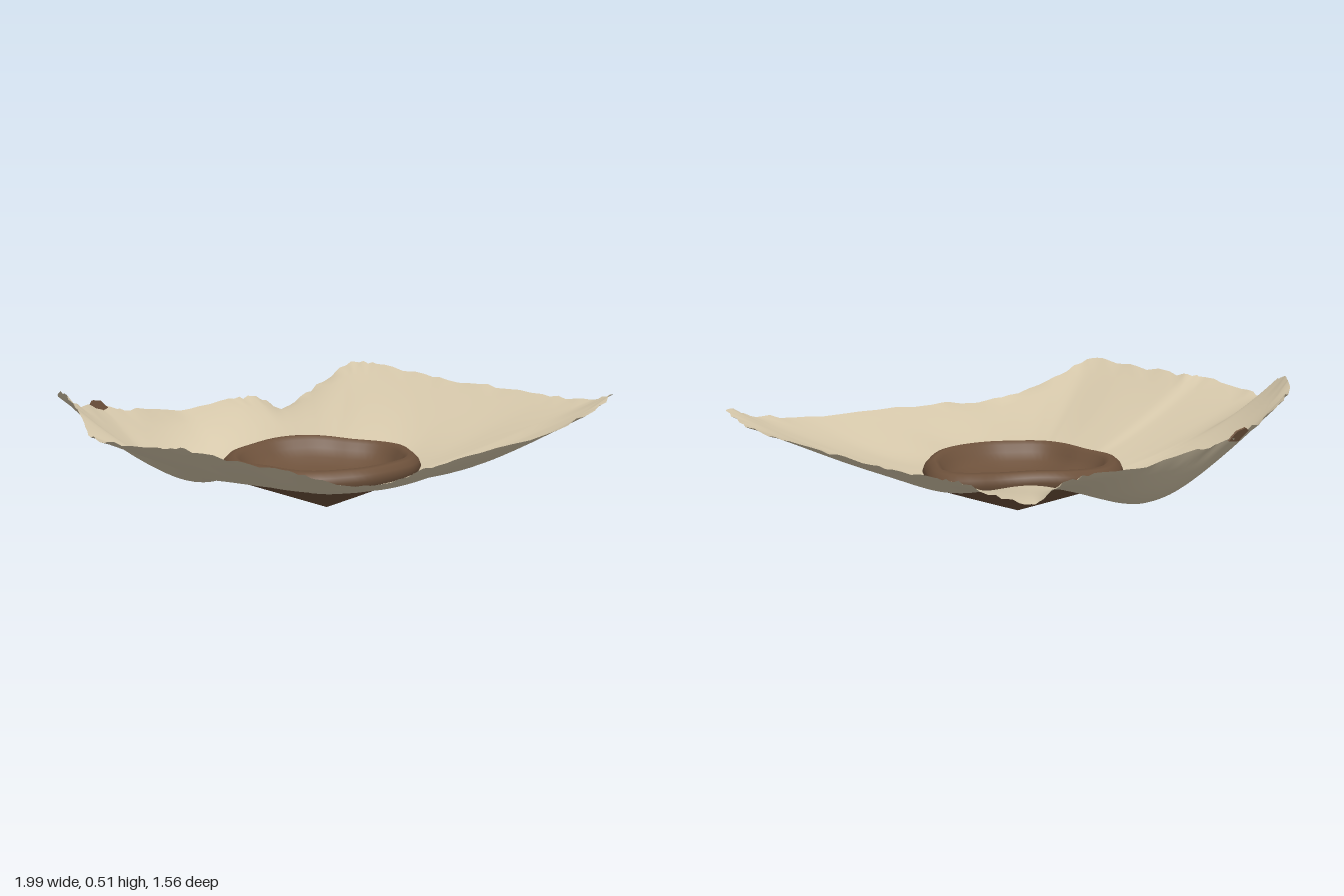
import * as THREE from 'three';

const sheetMat = new THREE.MeshStandardMaterial({ color: 0xd5c7aa, side: THREE.DoubleSide });
sheetMat.name = 'parchment';
const brownMat = new THREE.MeshStandardMaterial({ color: 0x6d513b, side: THREE.DoubleSide });
brownMat.name = 'earth brown';

const CX = 0.04, CZ = 0.02; // centre of the brown dish

// Rim of the sheet, going round from +x towards +z: x, y, z, steepness of the slope
const RIM = [
  [0.985, 0.36, 0, 1.2], [0.985, 0.365, 0.35, 1.2], [0.98, 0.38, 0.6, 1.2], [0.965, 0.425, 0.715, 1.3],
  [0.8, 0.37, 0.74, 1.5], [0.5, 0.32, 0.76, 1.8], [0, 0.29, 0.76, 2], [-0.25, 0.27, 0.765, 2],
  [-0.5, 0.25, 0.775, 1.8], [-0.75, 0.31, 0.745, 1.5], [-0.915, 0.36, 0.715, 1.3], [-0.935, 0.37, 0.5, 1.25],
  [-0.95, 0.385, 0.18, 1.25], [-0.99, 0.385, 0.08, 1.3], [-0.995, 0.37, -0.2, 1.3], [-0.965, 0.385, -0.33, 1.4],
  [-0.94, 0.47, -0.41, 1.6], [-0.87, 0.51, -0.57, 1.7], [-0.77, 0.47, -0.67, 1.8], [-0.6, 0.4, -0.725, 1.9],
  [-0.42, 0.37, -0.775, 2.1], [-0.28, 0.34, -0.75, 2.4], [0, 0.3, -0.735, 2.4], [0.3, 0.305, -0.735, 1.8],
  [0.45, 0.29, -0.74, 1.5], [0.57, 0.23, -0.735, 1.2], [0.75, 0.28, -0.74, 1.2], [0.95, 0.37, -0.71, 1.2],
  [0.985, 0.37, -0.6, 1.2], [0.985, 0.36, -0.3, 1.2],
];

// Radius of the dish every 30 degrees, from +x towards +z
const DISH = [0.42, 0.38, 0.37, 0.36, 0.37, 0.4, 0.37, 0.42, 0.42, 0.39, 0.37, 0.37];

let seed = 7;
const rand = () => (seed = (seed * 16807) % 2147483647) / 2147483647;

// Smooth bump around an angle
function bump(angle, centre, width) {
  const d = Math.atan2(Math.sin(angle - centre), Math.cos(angle - centre)) / width;
  return Math.exp(-d * d);
}

function dishRadius(angle) {
  const u = ((angle / (Math.PI * 2)) % 1 + 1) % 1 * DISH.length;
  const i = Math.floor(u) % DISH.length, f = u - Math.floor(u);
  const s = f * f * (3 - 2 * f);
  return DISH[i] * (1 - s) + DISH[(i + 1) % DISH.length] * s;
}

// Skin a list of closed rings of equal length
function loft(rings, material, name) {
  const n = rings[0].length, pos = [], index = [];
  rings.forEach(ring => ring.forEach(p => pos.push(p.x, p.y, p.z)));
  for (let i = 0; i < rings.length - 1; i++) {
    for (let j = 0; j < n; j++) {
      const k = (j + 1) % n;
      const a = i * n + j, b = i * n + k, c = a + n, d = b + n;
      index.push(a, b, c, b, d, c);
    }
  }
  const geo = new THREE.BufferGeometry();
  geo.setAttribute('position', new THREE.Float32BufferAttribute(pos, 3));
  geo.setIndex(index);
  geo.computeVertexNormals();
  const mesh = new THREE.Mesh(geo, material);
  mesh.name = name;
  return mesh;
}

// Closed ring following the dish outline, lifted at the back left and slightly at the front
function dishRing(scale, y, n = 72) {
  return Array.from({ length: n }, (_, j) => {
    const a = (j / n) * Math.PI * 2, r = dishRadius(a) * scale;
    const lift = (0.03 * bump(a, -1.1, 0.65) + 0.01 * bump(a, 1.4, 0.7)) * scale * scale;
    return new THREE.Vector3(CX + r * Math.cos(a), y + lift, CZ + r * Math.sin(a));
  });
}

function createSheet() {
  const curve = new THREE.CatmullRomCurve3(
    RIM.map(([x, y, z]) => new THREE.Vector3(x, y, z)), true, 'catmullrom', 0.35);
  const n = RIM.length * 6, steps = 16, reach = 8;
  const spokes = Array.from({ length: n }, (_, j) => {
    const u = (j / n) * RIM.length, i = Math.floor(u);
    const edge = curve.getPoint(j / n);
    const power = THREE.MathUtils.lerp(RIM[i][3], RIM[(i + 1) % RIM.length][3], u - i);
    const a = Math.atan2(edge.z - CZ, edge.x - CX), r = dishRadius(a) * 0.93;
    const startY = 0.13 + 0.05 * bump(a, -1, 0.5) + 0.015 * bump(a, 1.4, 0.7) - 0.015 * bump(a, -2.1, 0.4);
    const start = new THREE.Vector3(CX + r * Math.cos(a), startY, CZ + r * Math.sin(a));
    return { edge, power, start, a, frayIn: (rand() - 0.5) * 0.014, frayUp: (rand() - 0.5) * 0.014 };
  });
  // edge height averaged over the neighbours, so small notches stay near the border
  spokes.forEach((spoke, j) => {
    let sum = 0;
    for (let k = -reach; k <= reach; k++) sum += spokes[(j + k + n) % n].edge.y;
    spoke.calmY = sum / (2 * reach + 1);
  });
  const rings = [];
  for (let s = 0; s <= steps; s++) {
    const t = s / steps;
    rings.push(spokes.map(({ edge, calmY, power, start, a, frayIn, frayUp }) => {
      const p = start.clone().lerp(edge, t);
      // gentle folds, and a sagging pocket at the back right
      const fold = 0.003 * Math.sin(a * 9 + t * 3) * Math.sin(t * Math.PI);
      const sag = 0.06 * bump(a, -2.05, 0.38) * Math.sin(Math.pow(t, 0.8) * Math.PI);
      p.y = start.y + (calmY - start.y) * Math.pow(t, power) + (edge.y - calmY) * Math.pow(t, 3.5) + fold - sag;
      // torn, uneven border
      if (s === steps) {
        p.x -= Math.cos(a) * frayIn;
        p.z -= Math.sin(a) * frayIn;
        p.y += frayUp;
      }
      return p;
    }));
  }
  return loft(rings, sheetMat, 'sheet');
}

function createDish() {
  const dish = new THREE.Group();
  dish.name = 'dish';
  // hollow and rounded lip, from the middle outwards
  const lip = [[0.001, 0.095], [0.3, 0.1], [0.55, 0.117], [0.7, 0.14], [0.78, 0.17], [0.82, 0.197],
    [0.87, 0.21], [0.93, 0.204], [0.98, 0.183], [1, 0.16], [0.97, 0.137]];
  dish.add(loft(lip.map(([s, y]) => dishRing(s, y)), brownMat, 'dishLip'));
  // pointed underside
  const cone = [[0.97, 0.137], [0.64, 0.09], [0.32, 0.045], [0.001, 0]];
  dish.add(loft(cone.map(([s, y]) => dishRing(s, y)), brownMat, 'dishUnderside'));
  return dish;
}

// Small brown scrap on the back border
function createScrap() {
  const shape = new THREE.Shape([[-0.05, 0.012], [-0.03, 0.028], [0.02, 0.022], [0.06, -0.012], [0, -0.025]]
    .map(([x, y]) => new THREE.Vector2(x, y)));
  const geo = new THREE.ExtrudeGeometry(shape, { depth: 0.008, bevelEnabled: false });
  const scrap = new THREE.Mesh(geo, brownMat);
  scrap.name = 'borderScrap';
  scrap.position.set(-0.45, 0.37, -0.772);
  scrap.rotation.set(-0.3, 0.15, 0);
  return scrap;
}

export function createModel() {
  const model = new THREE.Group();
  model.name = 'sheetWithDish';
  model.add(createSheet(), createDish(), createScrap());
  return model;
}
